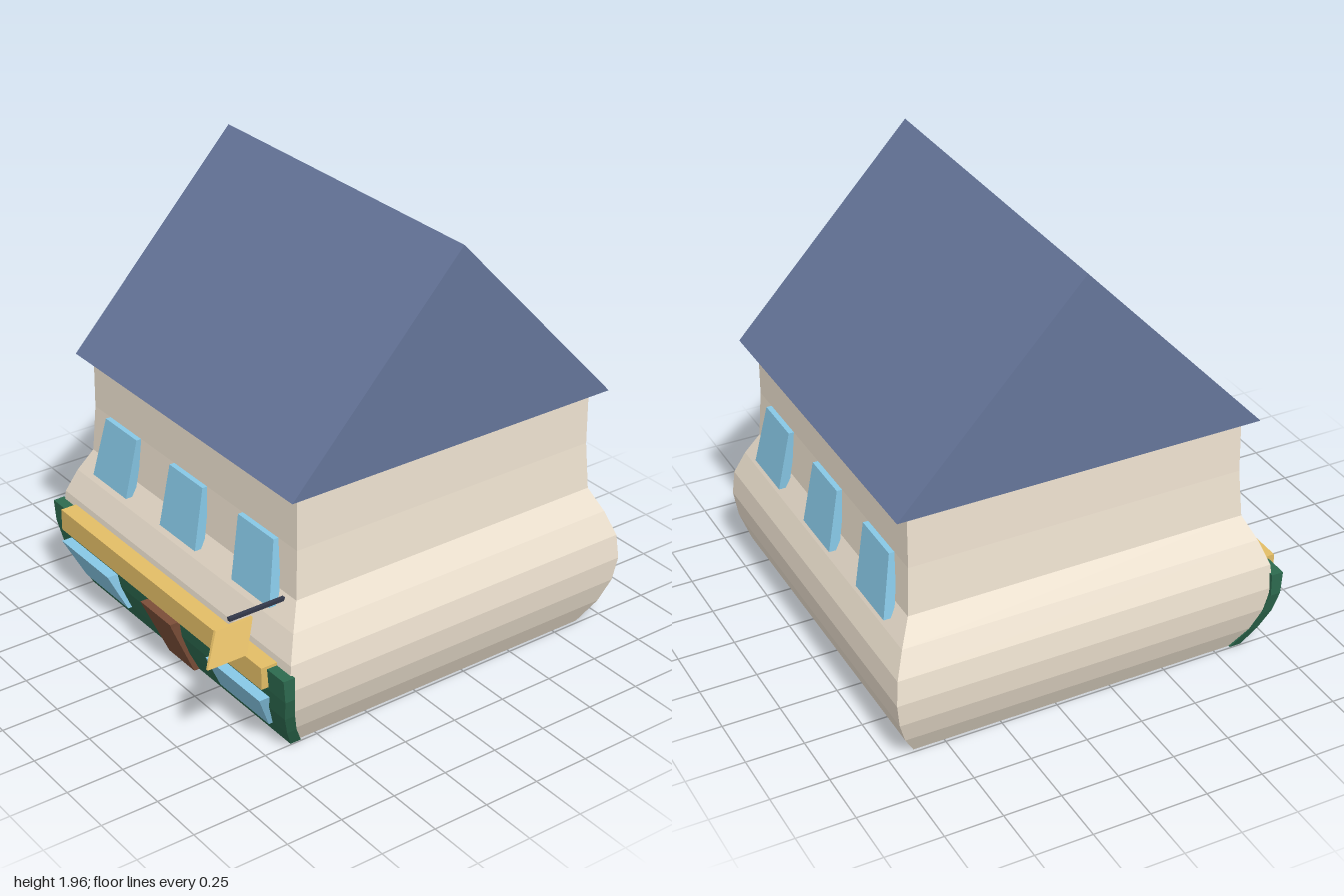
import * as THREE from 'three';

const CZ = -0.15; // depth centre of the house body
const COLORS = { wall: 0xf0e4d2, roof: 0x65759a, green: 0x2d6a4f, glass: 0x87c8e6, gold: 0xe3bd66, wood: 0x7b4e38, iron: 0x33384a };
const mats = {};
for (const k in COLORS) mats[k] = new THREE.MeshStandardMaterial({ color: COLORS[k], flatShading: true });

// Capped loft through rings of points, each ring counterclockwise seen from above
function loft(name, mat, rings) {
  const pos = [];
  const tri = (...pts) => pts.forEach(p => pos.push(...p));
  const n = rings[0].length;
  for (let i = 0; i < rings.length - 1; i++) {
    for (let j = 0; j < n; j++) {
      const k = (j + 1) % n, a = rings[i], b = rings[i + 1];
      tri(a[j], a[k], b[k]);
      tri(a[j], b[k], b[j]);
    }
  }
  const bottom = rings[0], top = rings[rings.length - 1];
  for (let j = 1; j < n - 1; j++) {
    tri(bottom[0], bottom[j + 1], bottom[j]);
    tri(top[0], top[j], top[j + 1]);
  }
  const g = new THREE.BufferGeometry();
  g.setAttribute('position', new THREE.Float32BufferAttribute(pos, 3));
  g.computeVertexNormals();
  const mesh = new THREE.Mesh(g, mat);
  mesh.name = name;
  return mesh;
}

// Rectangle at height y
const rect = (y, x0, x1, zBack, zFront) => [[x0, y, zFront], [x1, y, zFront], [x1, y, zBack], [x0, y, zBack]];

function box(name, mat, x0, x1, y0, y1, z0, z1) {
  const m = new THREE.Mesh(new THREE.BoxGeometry(x1 - x0, y1 - y0, z1 - z0), mat);
  m.position.set((x0 + x1) / 2, (y0 + y1) / 2, (z0 + z1) / 2);
  m.name = name;
  return m;
}

// Row of three upper windows that lean out with the wall
function upperWindows(name) {
  const row = new THREE.Group();
  row.name = name;
  const spans = [[-0.65, -0.39, -0.61, -0.37], [-0.13, 0.13, -0.12, 0.12], [0.39, 0.65, 0.37, 0.61]];
  for (const [b0, b1, t0, t1] of spans) {
    row.add(loft('upperWindow', mats.glass, [rect(0.595, b0, b1, 0.61, 0.655), rect(0.865, t0, t1, 0.57, 0.605)]));
  }
  return row;
}

export function createModel() {
  const house = new THREE.Group();
  house.name = 'house';

  // Bulging square body: [height, half width]
  const profile = [[0, 0.735], [0.11, 0.795], [0.22, 0.833], [0.33, 0.848], [0.44, 0.838], [0.55, 0.797],
    [0.655, 0.745], [0.865, 0.732], [1.12, 0.73]];
  house.add(loft('body', mats.wall, profile.map(([y, w]) => rect(y, -w, w, CZ - w, CZ + w))));

  // Gabled roof with overhanging eaves
  const roofShape = new THREE.Shape([[-0.79, 1.11], [0.79, 1.11], [0, 1.955]].map(p => new THREE.Vector2(...p)));
  const roof = new THREE.Mesh(new THREE.ExtrudeGeometry(roofShape, { depth: 1.56, bevelEnabled: false }), mats.roof);
  roof.rotation.y = Math.PI / 2;
  roof.position.set(-0.78, 0, CZ - 0.003);
  roof.name = 'roof';
  house.add(roof);

  // Green shop front following the bulge: [height, half width, back z, front z]
  const front = [[0, 0.745, 0.575, 0.625], [0.1, 0.793, 0.63, 0.675], [0.2, 0.832, 0.665, 0.713],
    [0.3, 0.86, 0.685, 0.73], [0.4, 0.86, 0.685, 0.738]];
  house.add(loft('shopFront', mats.green, front.map(([y, w, b, f]) => rect(y, -w, w, b, f))));

  // Fascia board
  house.add(box('fascia', mats.gold, -0.75, 0.75, 0.315, 0.413, 0.69, 0.765));

  // Door and the two shop windows
  house.add(loft('door', mats.wood, [rect(0, -0.095, 0.095, 0.58, 0.65), rect(0.26, -0.11, 0.11, 0.7, 0.765),
    rect(0.278, -0.112, 0.112, 0.73, 0.772)]));
  for (const s of [-1, 1]) {
    const [b0, b1, t0, t1] = s < 0 ? [-0.69, -0.35, -0.745, -0.37] : [0.35, 0.69, 0.37, 0.745];
    house.add(loft('shopWindow', mats.glass, [rect(0.09, b0, b1, 0.65, 0.69), rect(0.262, t0, t1, 0.72, 0.772)]));
  }

  // Upper windows, front and back
  house.add(upperWindows('frontWindows'));
  const back = upperWindows('backWindows');
  back.rotation.y = Math.PI;
  back.position.z = 2 * CZ;
  house.add(back);

  // Bracket and hanging sign, swung outward
  house.add(box('signBracket', mats.iron, 0.665, 0.682, 0.626, 0.64, 0.6, 0.86));
  house.add(loft('hangingSign', mats.gold, [
    [[0.725, 0.49, 1.0], [0.737, 0.49, 1.0], [0.737, 0.49, 0.82], [0.725, 0.49, 0.82]],
    [[0.677, 0.615, 0.93], [0.69, 0.615, 0.93], [0.69, 0.615, 0.76], [0.677, 0.615, 0.76]],
  ]));

  return house;
}
